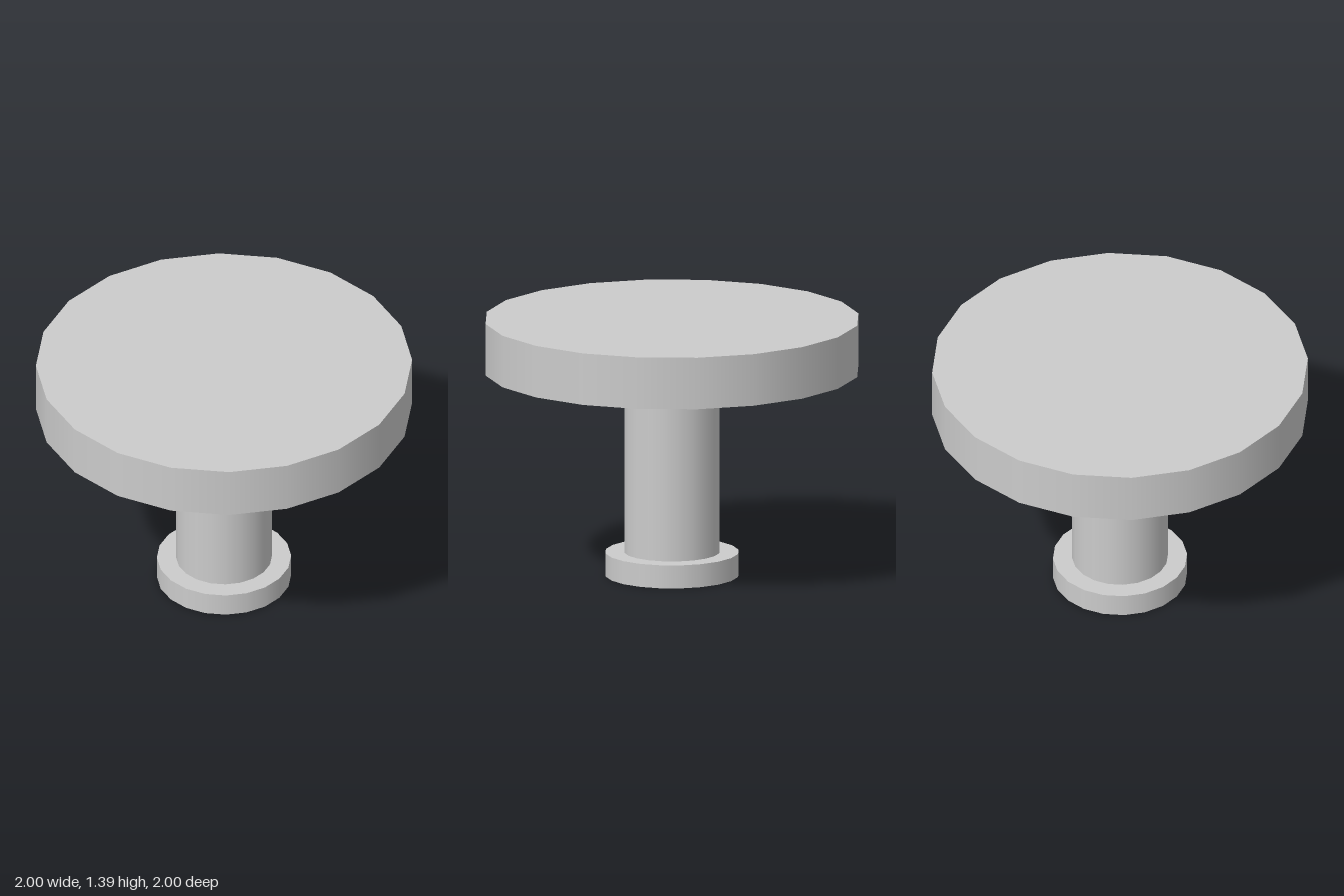
import * as THREE from 'three';

const SIDES = 20;

export function createModel() {
  const group = new THREE.Group();
  const material = new THREE.MeshStandardMaterial({ color: 0xcccccc });

  // Upright disc or post between two heights
  function addCylinder(name, radius, bottom, top) {
    const geometry = new THREE.CylinderGeometry(radius, radius, top - bottom, SIDES);
    const mesh = new THREE.Mesh(geometry, material);
    mesh.name = name;
    mesh.position.y = (bottom + top) / 2;
    group.add(mesh);
  }

  addCylinder('base', 0.357, 0, 0.125);
  addCylinder('column', 0.255, 0.125, 1.11);
  addCylinder('tableTop', 1, 1.11, 1.39);

  return group;
}
